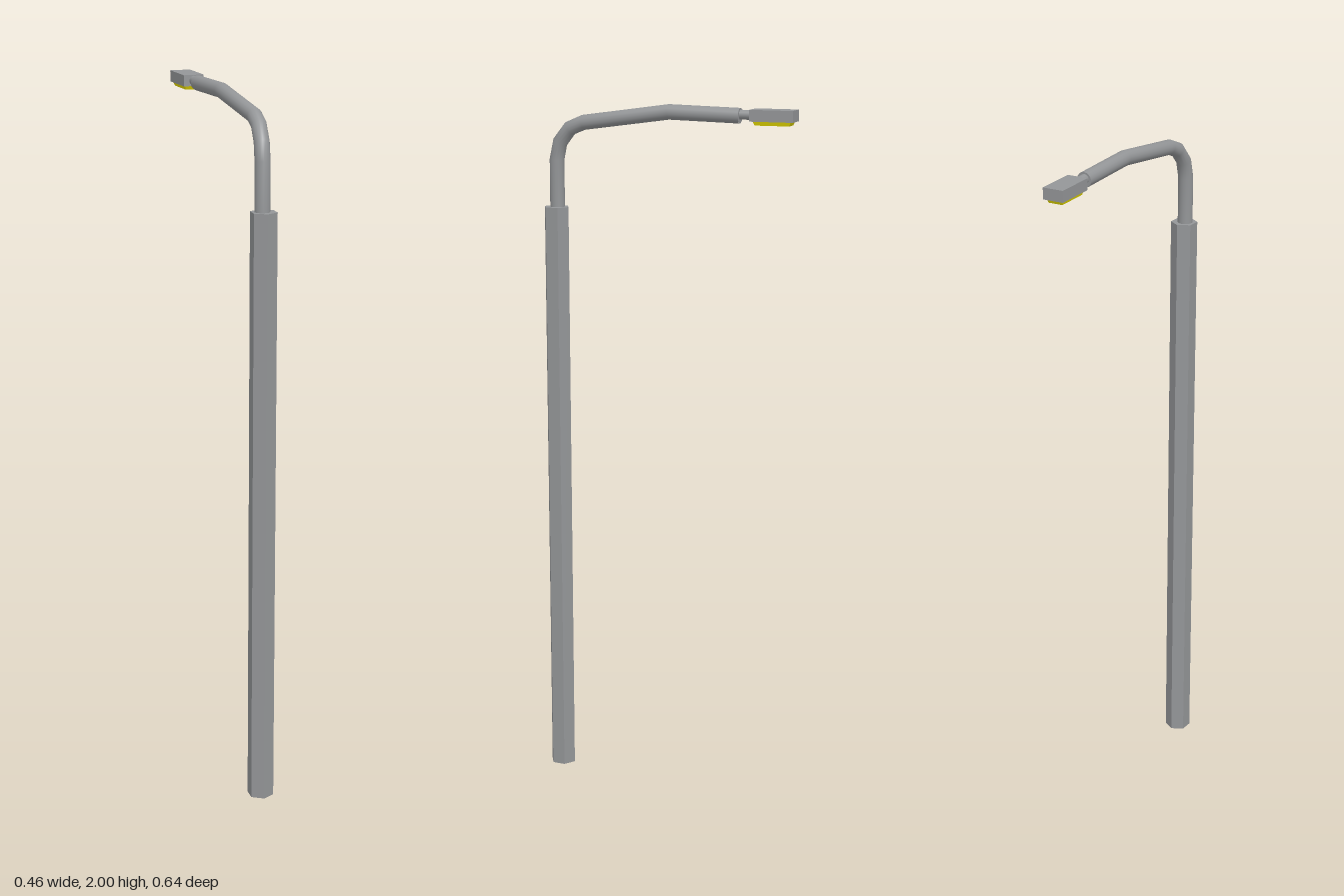
import * as THREE from 'three';

// Polyline path whose samples land exactly on the given points, so bends stay crisp
class BentPath extends THREE.Curve {
  constructor(points) {
    super();
    this.points = points;
  }
  getPointAt(u, target = new THREE.Vector3()) {
    return target.copy(this.points[Math.round(u * (this.points.length - 1))]);
  }
  getTangentAt(u, target = new THREE.Vector3()) {
    const p = this.points, last = p.length - 1, i = Math.round(u * last);
    const before = p[i].clone().sub(p[Math.max(i - 1, 0)]).normalize();
    const after = p[Math.min(i + 1, last)].clone().sub(p[i]).normalize();
    return target.copy(before.add(after).normalize());
  }
}

export function createModel() {
  const model = new THREE.Group();
  model.name = 'streetLamp';

  const metal = new THREE.MeshStandardMaterial({ color: 0x949698 });
  metal.name = 'grey metal';
  const glow = new THREE.MeshStandardMaterial({ color: 0xe8dc00 });
  glow.name = 'yellow lens';

  function add(name, geometry, material, parent = model) {
    const mesh = new THREE.Mesh(geometry, material);
    mesh.name = name;
    parent.add(mesh);
    return mesh;
  }

  // Hexagonal pole with corners pointing along x
  const poleGeometry = new THREE.CylinderGeometry(0.038, 0.038, 1.7, 6);
  poleGeometry.rotateY(Math.PI / 6);
  const flatPole = poleGeometry.toNonIndexed();
  flatPole.computeVertexNormals();
  add('pole', flatPole, metal).position.set(0.19, 0.85, 0.288);

  // Round arm that bends over and reaches diagonally back
  const points = [
    [0.186, 1.69, 0.289], [0.186, 1.835, 0.289], [0.181, 1.885, 0.279],
    [0.166, 1.925, 0.25], [0.145, 1.943, 0.212], [0, 1.979, 0], [-0.115, 1.974, -0.175],
  ].map((p) => new THREE.Vector3(...p));
  const path = new BentPath(points);
  add('arm', new THREE.TubeGeometry(path, points.length - 1, 0.0215, 16, false), metal);

  const tip = points[points.length - 1];
  const cap = add('armEnd', new THREE.CircleGeometry(0.0215, 16), metal);
  cap.position.copy(tip);
  cap.lookAt(tip.clone().add(path.getTangentAt(1)));

  // Lamp head group: local -z runs outward along the arm
  const head = new THREE.Group();
  head.name = 'lampHead';
  head.position.set(-0.17, 1.977, -0.255);
  head.rotation.y = Math.atan2(0.07, 0.104);
  model.add(head);

  const neck = new THREE.CylinderGeometry(0.0135, 0.0135, 0.05, 12);
  neck.rotateX(Math.PI / 2);
  add('neck', neck, metal, head).position.z = 0.08;
  add('housing', new THREE.BoxGeometry(0.06, 0.032, 0.125), metal, head);

  // Lens under the housing, narrowing downward
  const lens = new THREE.BoxGeometry(0.048, 0.012, 0.11);
  const pos = lens.attributes.position;
  for (let i = 0; i < pos.count; i++) {
    if (pos.getY(i) < 0) pos.setXYZ(i, pos.getX(i) * 0.85, pos.getY(i), pos.getZ(i) * 0.9);
  }
  lens.computeVertexNormals();
  add('lens', lens, glow, head).position.y = -0.021;

  return model;
}
